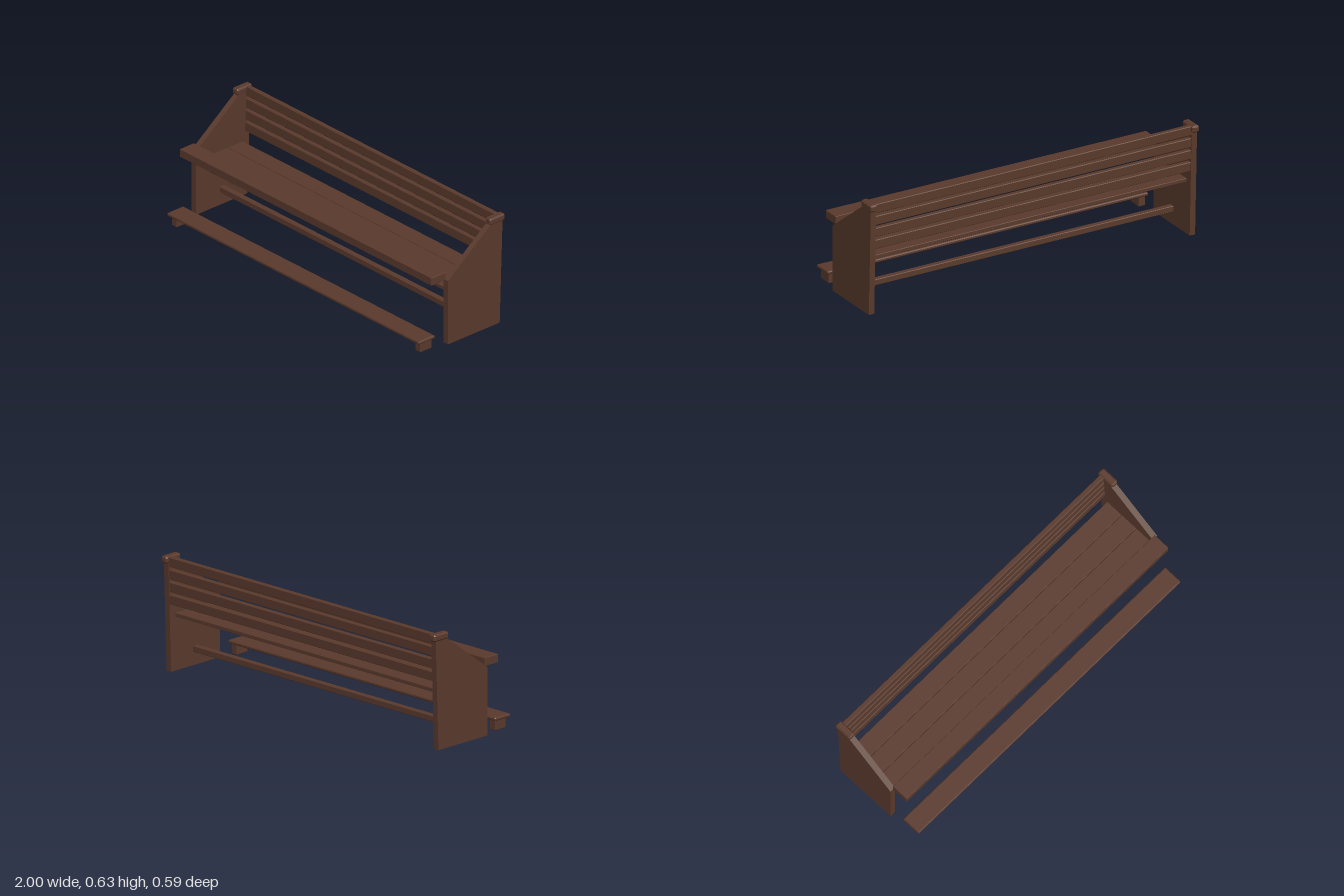
import * as THREE from 'three';
import { ConvexGeometry } from 'three/addons/geometries/ConvexGeometry.js';

// Box with all edges cut by c
function chamferBox(w, h, d, c) {
  const pts = [];
  for (const sx of [-1, 1]) for (const sy of [-1, 1]) for (const sz of [-1, 1]) {
    const x = w / 2, y = h / 2, z = d / 2;
    pts.push(
      new THREE.Vector3(sx * x, sy * (y - c), sz * (z - c)),
      new THREE.Vector3(sx * (x - c), sy * y, sz * (z - c)),
      new THREE.Vector3(sx * (x - c), sy * (y - c), sz * z));
  }
  return new ConvexGeometry(pts);
}

export function createModel() {
  const group = new THREE.Group();
  const wood = new THREE.MeshStandardMaterial({ color: 0x5a3a2c });
  wood.name = 'dark brown wood';

  function board(name, size, pos, c = 0.003) {
    const mesh = new THREE.Mesh(chamferBox(...size, c), wood);
    mesh.name = name;
    mesh.position.set(...pos);
    group.add(mesh);
    return mesh;
  }

  // Side panel profile: shape x is -z, so the front lies at negative x
  const profile = new THREE.Shape([
    [-0.105, 0], [0.259, 0], [0.279, 0.597], [0.195, 0.597], [-0.105, 0.372],
  ].map(([x, y]) => new THREE.Vector2(x, y)));
  const panelGeometry = new THREE.ExtrudeGeometry(profile, { depth: 0.033, bevelEnabled: false });
  panelGeometry.translate(0, 0, -0.0165);
  panelGeometry.rotateY(Math.PI / 2);

  for (const [side, s] of [['left', 1], ['right', -1]]) {
    const panel = new THREE.Mesh(panelGeometry, wood);
    panel.name = side + 'SidePanel';
    panel.position.x = s * 0.9765;
    group.add(panel);
    board(side + 'Cap', [0.042, 0.039, 0.107], [s * 0.979, 0.6145, -0.24], 0.008);
    board(side + 'KneelerFoot', [0.04, 0.056, 0.08], [s * 0.943, 0.028, 0.233], 0.002);
  }

  // Back slats, leaning with the rear edge of the panels
  for (let i = 0; i < 4; i++) {
    const y = 0.605 - i * 0.069;
    const slat = board('backSlat' + (i + 1), [1.925, 0.052, 0.028], [0, y, -0.263 + i * 0.0023]);
    slat.rotation.x = -0.033;
  }

  // Seat planks
  for (let i = 0; i < 3; i++) {
    board('seatPlank' + (i + 1), [1.925, 0.021, 0.103], [0, 0.305, 0.038 - i * 0.1065], 0.002);
  }

  // Front shelf, lower rail and kneeler
  board('frontShelf', [1.95, 0.046, 0.1], [0, 0.395, 0.155], 0.002);
  board('lowerRail', [1.925, 0.034, 0.032], [0, 0.09, -0.08]);
  board('kneelerTop', [1.952, 0.019, 0.114], [0, 0.0645, 0.2375], 0.005);

  return group;
}
